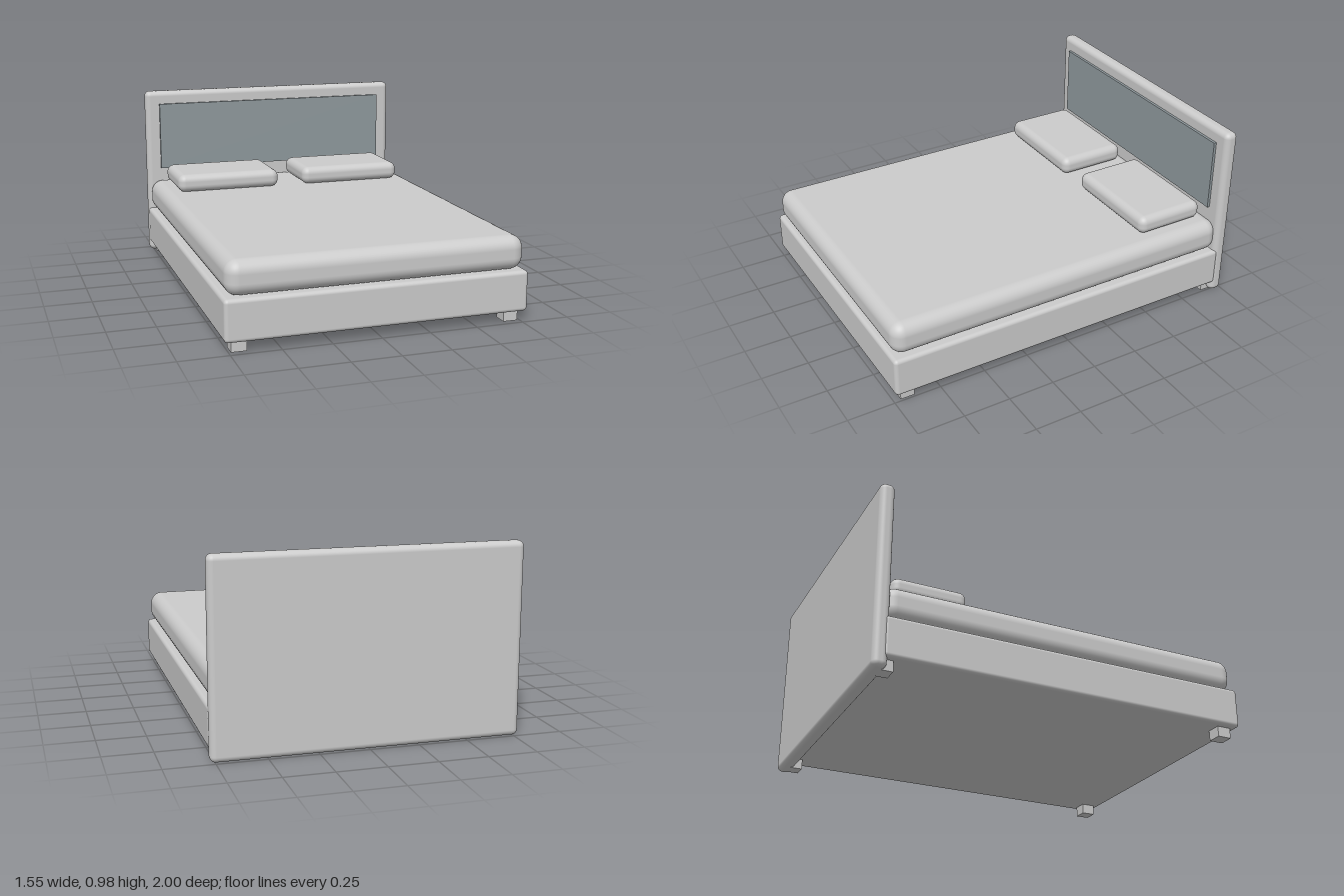
import * as THREE from 'three';
import { RoundedBoxGeometry } from 'three/addons/geometries/RoundedBoxGeometry.js';

const frameMaterial = new THREE.MeshStandardMaterial({ color: 0xcccccc });
const panelMaterial = new THREE.MeshStandardMaterial({ color: 0x8f999d });

// Box given by its min and max corners; radius 0 keeps the edges sharp
function block(name, [x0, y0, z0], [x1, y1, z1], radius = 0, material = frameMaterial) {
  const size = [x1 - x0, y1 - y0, z1 - z0];
  const geometry = radius
    ? new RoundedBoxGeometry(...size, 5, radius)
    : new THREE.BoxGeometry(...size);
  const mesh = new THREE.Mesh(geometry, material);
  mesh.name = name;
  mesh.position.set((x0 + x1) / 2, (y0 + y1) / 2, (z0 + z1) / 2);
  return mesh;
}

export function createModel() {
  const bed = new THREE.Group();
  bed.name = 'bed';

  // Frame and mattress, both running slightly into the headboard
  bed.add(block('bedBase', [-0.775, 0.055, -0.95], [0.775, 0.265, 1], 0.02));
  bed.add(block('mattress', [-0.76, 0.265, -0.95], [0.76, 0.44, 0.99], 0.065));

  // Headboard with its darker inset panel
  bed.add(block('headboard', [-0.775, 0, -1], [0.775, 0.975, -0.925], 0.03));
  bed.add(block('headboardPanel', [-0.695, 0.51, -0.94], [0.695, 0.9, -0.91], 0, panelMaterial));

  // Mirrored pillows and legs
  for (const side of [-1, 1]) {
    const label = side > 0 ? 'left' : 'right';
    const pillow = block(label + 'Pillow', [0.075, 0.44, -0.885], [0.67, 0.54, -0.495], 0.04);
    pillow.position.x *= side;
    bed.add(pillow);

    for (const [end, z] of [['Front', 0.925], ['Back', -0.925]]) {
      const leg = block(label + end + 'Leg', [0.662, 0, z - 0.0375], [0.738, 0.07, z + 0.0375]);
      leg.position.x *= side;
      bed.add(leg);
    }
  }
  return bed;
}
